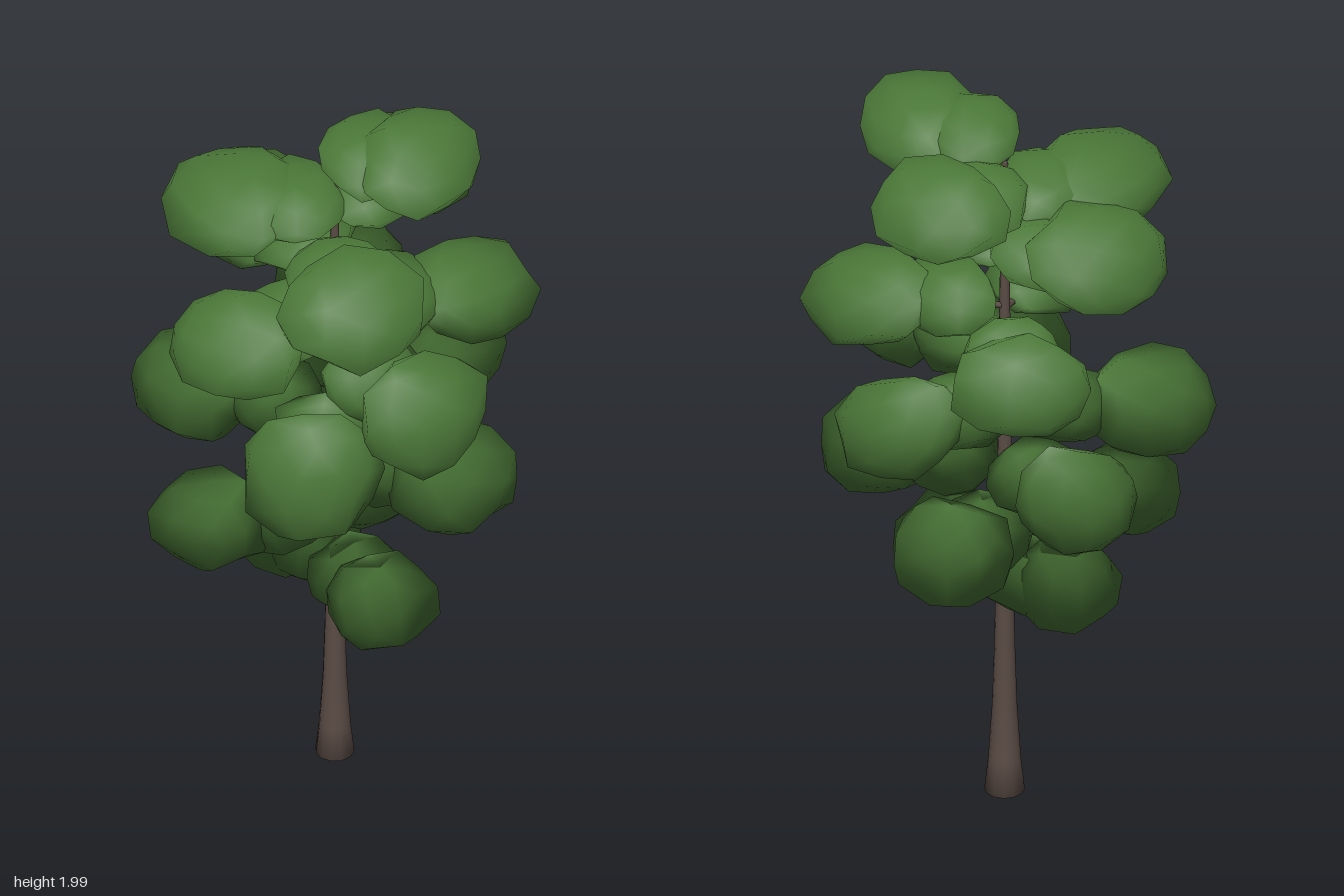
import * as THREE from 'three';

const bark = new THREE.MeshStandardMaterial({ color: 0x5a4b45 });
bark.name = 'barkBrown';
const leaf = new THREE.MeshStandardMaterial({ color: 0x4a7637 });
leaf.name = 'leafGreen';

const TRUNK = new THREE.Vector3(-0.018, 0, -0.012);
const CROWN = new THREE.Vector3(-0.01, 1.28, 0);

// Foliage pads, lowest to highest: centre x, y, z, then half sizes x, y, z
const PADS = [
  [0.225, 0.68, 0.09, 0.135, 0.12, 0.15],
  [-0.2, 0.68, 0.0, 0.14, 0.12, 0.13],
  [-0.2, 0.845, 0.275, 0.15, 0.115, 0.145],
  [-0.03, 0.83, -0.28, 0.15, 0.13, 0.15],
  [0.3, 1.0, -0.11, 0.16, 0.13, 0.17],
  [-0.33, 1.0, -0.16, 0.15, 0.13, 0.145],
  [0.18, 1.155, 0.31, 0.165, 0.145, 0.16],
  [-0.34, 1.155, 0.18, 0.165, 0.135, 0.155],
  [0.08, 1.175, -0.35, 0.145, 0.12, 0.155],
  [0.355, 1.3, 0.085, 0.145, 0.135, 0.16],
  [-0.26, 1.345, -0.31, 0.155, 0.11, 0.16],
  [-0.03, 1.46, 0.34, 0.165, 0.13, 0.16],
  [0.23, 1.465, -0.26, 0.15, 0.12, 0.15],
  [-0.295, 1.595, -0.03, 0.165, 0.135, 0.16],
  [0.22, 1.59, 0.2, 0.16, 0.13, 0.17],
  [0.0, 1.735, -0.27, 0.16, 0.12, 0.15],
  [-0.19, 1.73, 0.16, 0.16, 0.12, 0.165],
  [0.195, 1.875, -0.07, 0.14, 0.125, 0.15],
];

// Seeded value in 0..1 that is the same for equal directions
function hash(v, seed) {
  const s = Math.sin(Math.round(v.x * 50) * 12.99 + Math.round(v.y * 50) * 78.23
    + Math.round(v.z * 50) * 37.72 + seed * 5.31) * 4375.85;
  return s - Math.floor(s);
}

// Lumpy, slightly boxy low-poly pad; its normals lean outward from the whole crown
function leafPad(name, centre, size, seed) {
  const geo = new THREE.IcosahedronGeometry(1, 1);
  geo.rotateY(seed * 1.7);
  const pos = geo.attributes.position;
  const nor = geo.attributes.normal;
  const v = new THREE.Vector3();
  const n = new THREE.Vector3();
  for (let i = 0; i < pos.count; i++) {
    v.fromBufferAttribute(pos, i);
    n.copy(v).divide(size).normalize();
    const box = Math.pow(Math.abs(v.x) ** 2.7 + Math.abs(v.y) ** 2.7 + Math.abs(v.z) ** 2.7, -1 / 2.7);
    v.multiplyScalar(box * (0.87 + 0.2 * hash(v, seed))).multiply(size).add(centre);
    pos.setXYZ(i, v.x, v.y, v.z);
    n.add(v.sub(CROWN).normalize()).normalize();
    nor.setXYZ(i, n.x, n.y, n.z);
  }
  const mesh = new THREE.Mesh(geo, leaf);
  mesh.name = name;
  return mesh;
}

// Tapered rod between two points
function branch(from, to) {
  const dir = to.clone().sub(from);
  const mesh = new THREE.Mesh(new THREE.CylinderGeometry(0.005, 0.01, dir.length(), 6), bark);
  mesh.position.copy(from).addScaledVector(dir, 0.5);
  mesh.quaternion.setFromUnitVectors(new THREE.Vector3(0, 1, 0), dir.normalize());
  mesh.name = 'branch';
  return mesh;
}

export function createModel() {
  const tree = new THREE.Group();
  tree.name = 'tree';

  // Trunk with a flared foot
  const profile = [[0, 0], [0.056, 0], [0.045, 0.1], [0.034, 0.27], [0.028, 0.45],
    [0.025, 0.6], [0.02, 0.95], [0.014, 1.4], [0.008, 1.79], [0, 1.8]];
  const trunk = new THREE.Mesh(
    new THREE.LatheGeometry(profile.map(([x, y]) => new THREE.Vector2(x, y)), 12), bark);
  trunk.position.copy(TRUNK);
  trunk.name = 'trunk';
  tree.add(trunk);

  // Each branch carries a large outer pad and a smaller one nearer the trunk
  PADS.forEach(([x, y, z, sx, sy, sz], i) => {
    const outer = new THREE.Vector3(x, y, z);
    const root = new THREE.Vector3(TRUNK.x, y - 0.05, TRUNK.z);
    const inner = root.clone().lerp(outer, 0.43);
    inner.y = y - 0.01;
    const limb = new THREE.Group();
    limb.name = 'limb' + (i + 1);
    limb.add(
      branch(root, outer),
      leafPad('outerFoliage', outer, new THREE.Vector3(sx, sy, sz), i + 1),
      leafPad('innerFoliage', inner, new THREE.Vector3(0.125, 0.095, 0.125), i + 31),
    );
    tree.add(limb);
  });
  return tree;
}
